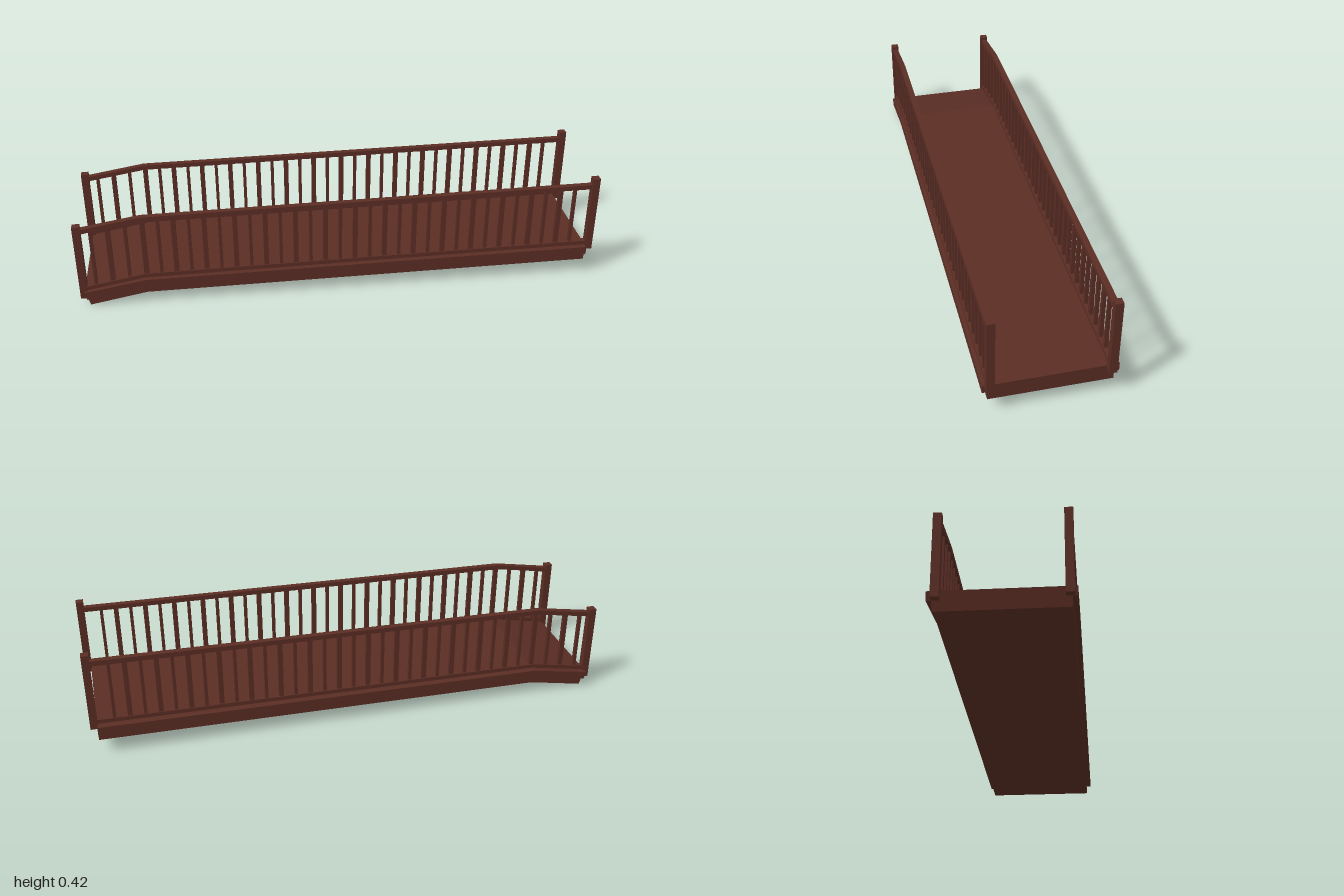
import * as THREE from 'three';

const BEND = -0.75;

// Bent height line: left end, bend, right end
function heightAt(line, x) {
  const [l, b, r] = line;
  return x < BEND
    ? l + (b - l) * (x + 0.97) / (BEND + 0.97)
    : b + (r - b) * (x - BEND) / (0.975 - BEND);
}

// Slab following the bend, between two offsets above a line, spanning z0..z1
function strip(name, line, lo, hi, z0, z1, x0, x1, lean, material) {
  const shape = new THREE.Shape();
  const left = (h) => x0 - lean * h;
  shape.moveTo(left(lo), heightAt(line, x0) + lo);
  shape.lineTo(BEND, line[1] + lo);
  shape.lineTo(x1, heightAt(line, x1) + lo);
  shape.lineTo(x1, heightAt(line, x1) + hi);
  shape.lineTo(BEND, line[1] + hi);
  shape.lineTo(left(hi), heightAt(line, x0) + hi);
  shape.closePath();
  const geometry = new THREE.ExtrudeGeometry(shape, { depth: z1 - z0, bevelEnabled: false });
  geometry.translate(0, 0, z0);
  const mesh = new THREE.Mesh(geometry, material);
  mesh.name = name;
  return mesh;
}

function bar(name, x, y0, y1, z, width, depth, material) {
  const mesh = new THREE.Mesh(new THREE.BoxGeometry(width, y1 - y0, depth), material);
  mesh.position.set(x, (y0 + y1) / 2, z);
  mesh.name = name;
  return mesh;
}

export function createModel() {
  const wood = new THREE.MeshStandardMaterial({ color: 0x5a2d24 });
  wood.name = 'darkWood';
  const model = new THREE.Group();
  model.name = 'footbridge';

  // Deck: narrower beam below, wider planking above
  const deckLine = [0, 0.041, 0.057];
  model.add(strip('deckBeam', deckLine, 0, 0.034, -0.22, 0.22, -0.967, 0.975, 0.25, wood));
  model.add(strip('deckTop', deckLine, 0.034, 0.065, -0.238, 0.238, -0.967, 0.975, 0.25, wood));

  // Baluster positions: three on the ramp, the rest evenly along the span
  const xs = [-0.937, -0.873, -0.809];
  for (let i = 0; i < 30; i++) xs.push(-0.745 + i * 0.057);

  const lowerLine = [0.07, 0.11, 0.128];
  const upperLine = [0.316, 0.353, 0.375];
  for (const [side, z] of [['left', 0.214], ['right', -0.208]]) {
    const railing = new THREE.Group();
    railing.name = side === 'left' ? 'frontRailing' : 'backRailing';

    // End posts
    railing.add(bar('lowPost', -0.986, 0.036, 0.346, z, 0.028, 0.029, wood));
    railing.add(bar('highPost', 0.986, 0.108, 0.419, z, 0.028, 0.029, wood));

    // Rails
    railing.add(strip('bottomRail', lowerLine, 0, 0.016, z - 0.011, z + 0.011, -0.985, 0.985, 0, wood));
    railing.add(strip('topRail', upperLine, 0, 0.018, z - 0.011, z + 0.011, -0.985, 0.985, 0, wood));

    // Balusters, alternately slim and stout
    xs.forEach((x, i) => {
      const width = i % 2 ? 0.018 : 0.012;
      railing.add(bar('baluster', x, heightAt(lowerLine, x) + 0.008,
        heightAt(upperLine, x) + 0.008, z, width, 0.014, wood));
    });
    model.add(railing);
  }
  return model;
}
